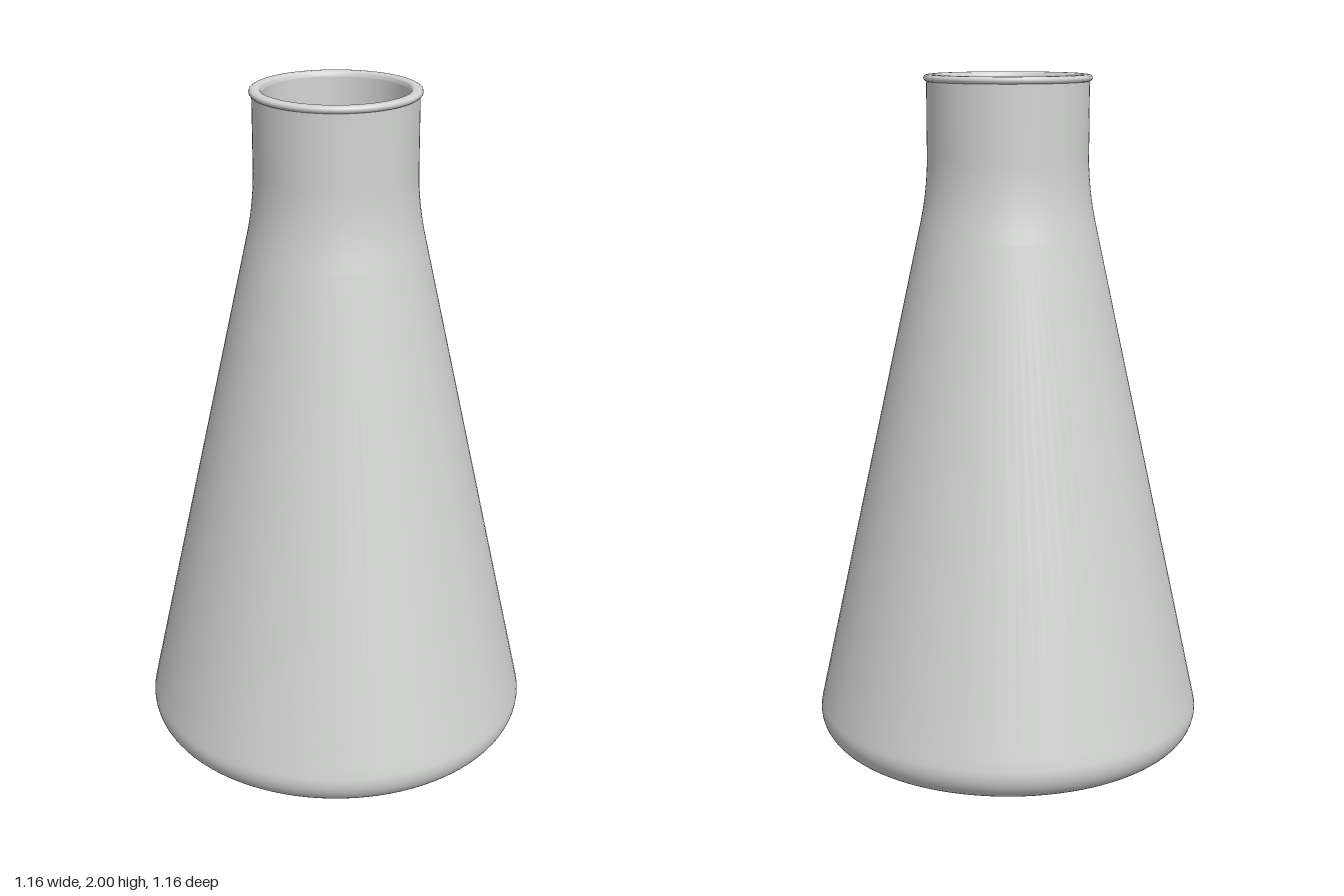
import * as THREE from 'three';

const V = (x, y) => new THREE.Vector2(x, y);

// Straight cone wall: radius at a given height
const coneRadius = (y) => 0.576 - (y - 0.107) * 0.218;

// Rounded foot, from the flat base up to where the cone wall begins
function footArc(cx, cy, r, steps) {
  const points = [];
  for (let i = 0; i <= steps; i++) {
    const a = -Math.PI / 2 + (i / steps) * (Math.PI / 2 + 0.215);
    points.push(V(cx + r * Math.cos(a), cy + r * Math.sin(a)));
  }
  return points;
}

// Soft shoulder between the cone and the straight neck
function shoulder(neckRadius, offset) {
  return new THREE.QuadraticBezierCurve(
    V(coneRadius(1.57) - offset, 1.57),
    V(neckRadius, 1.67),
    V(neckRadius, 1.77)
  ).getPoints(10);
}

export function createModel() {
  const flask = new THREE.Group();
  flask.name = 'conicalFlask';
  const glass = new THREE.MeshStandardMaterial({ color: 0xd2d4d2 });
  glass.name = 'pale glass';

  const addLathe = (name, points) => {
    const mesh = new THREE.Mesh(new THREE.LatheGeometry(points, 96), glass);
    mesh.name = name;
    flask.add(mesh);
  };

  // Outer wall: base, foot, cone, shoulder and neck
  addLathe('outerWall', [
    V(0, 0), V(0.485, 0),
    ...footArc(0.49, 0.088, 0.088, 14),
    V(coneRadius(0.13), 0.13), V(coneRadius(1.54), 1.54),
    ...shoulder(0.235, 0),
    V(0.235, 1.98),
  ]);

  // Rolled lip around the mouth
  addLathe('lip', [
    V(0.235, 1.98), V(0.239, 1.982), V(0.242, 1.986), V(0.243, 1.991),
    V(0.241, 1.996), V(0.236, 1.999), V(0.23, 2), V(0.218, 2),
    V(0.213, 1.998), V(0.21, 1.994), V(0.208, 1.985),
  ]);

  // Inner wall and floor, running downwards so that it faces inwards
  addLathe('innerWall', [
    V(0, 0.028), V(0.485, 0.028),
    ...footArc(0.49, 0.088, 0.06, 10),
    V(coneRadius(0.13) - 0.028, 0.13), V(coneRadius(1.54) - 0.028, 1.54),
    ...shoulder(0.208, 0.028),
    V(0.208, 1.985),
  ].reverse());

  // Graduation marks: fine raised bands that follow the cone
  const addMark = (y, x0, x1) => {
    const steps = 8, half = 0.003, pos = [], index = [];
    for (let i = 0; i <= steps; i++) {
      const x = x0 + (x1 - x0) * (i / steps);
      for (const h of [y - half, y + half]) {
        const r = coneRadius(h) + 0.001;
        pos.push(x, h, Math.sqrt(r * r - x * x));
      }
      if (i < steps) {
        const a = i * 2;
        index.push(a, a + 2, a + 1, a + 1, a + 2, a + 3);
      }
    }
    const geometry = new THREE.BufferGeometry();
    geometry.setAttribute('position', new THREE.Float32BufferAttribute(pos, 3));
    geometry.setIndex(index);
    geometry.computeVertexNormals();
    const mesh = new THREE.Mesh(geometry, glass);
    mesh.name = 'graduationMark';
    flask.add(mesh);
  };
  [0.72, 0.52, 0.35, 0.21].forEach((y) => addMark(y, -0.305, -0.212));
  [0.62, 0.435, 0.28].forEach((y) => addMark(y, -0.305, -0.25));

  return flask;
}
